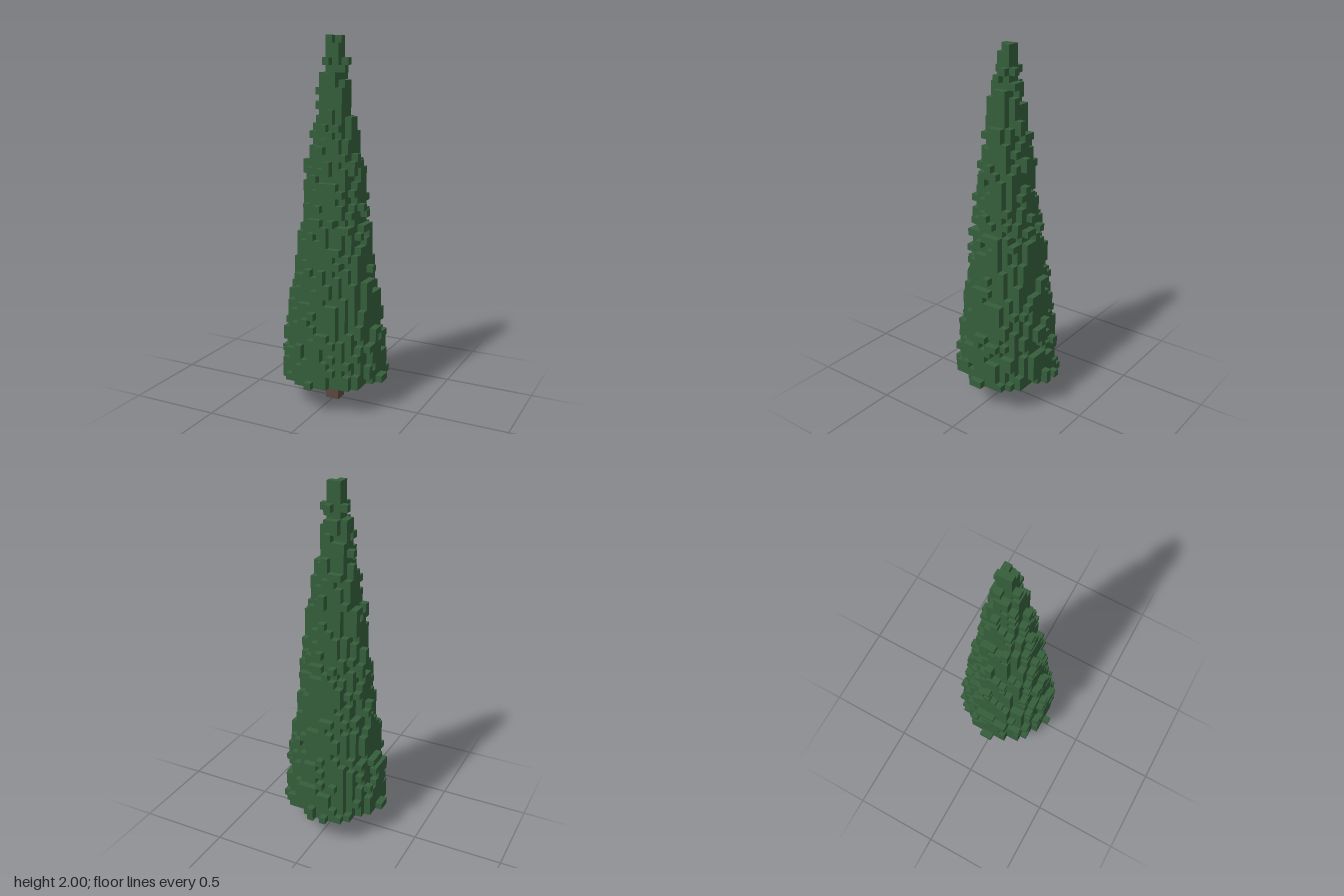
import * as THREE from 'three';

const LAYERS = 53, V = 2 / LAYERS, TRUNK = 4;

// Mean foliage radius in voxels at chosen layers
const PROFILE = [[4, 7.25], [15, 6.15], [21, 5.25], [30, 4.15], [38, 3.1], [43, 2.25], [49, 1.35], [51, 0.95], [52, 0.5]];

function radiusAt(y) {
  const i = Math.max(1, PROFILE.findIndex(([layer]) => layer >= y));
  const [y0, r0] = PROFILE[i - 1], [y1, r1] = PROFILE[i];
  return THREE.MathUtils.mapLinear(y, y0, y1, r0, r1);
}

function seeded(seed) {
  let s = seed;
  return () => {
    s = (s + 0x6d2b79f5) | 0;
    let t = Math.imul(s ^ (s >>> 15), 1 | s);
    t = (t + Math.imul(t ^ (t >>> 7), 61 | t)) ^ t;
    return ((t ^ (t >>> 14)) >>> 0) / 4294967296;
  };
}

// Ragged cone of voxels: each cell near the edge is kept or dropped by a small jitter
function foliageCells() {
  const rand = seeded(11), cells = new Map();
  const add = (x, y, z) => cells.set(`${x},${y},${z}`, [x, y, z]);
  for (let y = TRUNK; y < LAYERS; y++) {
    const r = radiusAt(y);
    for (let x = -7; x < 7; x++) {
      for (let z = -7; z < 7; z++) {
        const jitter = (rand() - 0.5) * 0.8;
        if (Math.hypot(x + 0.5, z + 0.5) < r + jitter) add(x, y, z);
      }
    }
  }
  // Twigs sticking out of the lowest layer, and the tip
  [[-8, -1], [-8, 0], [7, -1], [7, 0], [-1, 7], [-2, -8], [0, -8]].forEach(([x, z]) => add(x, TRUNK, z));
  add(0, TRUNK + 1, -8);
  add(-1, LAYERS - 1, -1);
  add(0, LAYERS - 1, -1);
  return cells;
}

// Outer faces only of a set of voxels
function voxelGeometry(cells) {
  const pos = [];
  const ring = [[0, 0], [1, 0], [1, 1], [0, 1]];
  for (const cell of cells.values()) {
    for (let a = 0; a < 3; a++) {
      for (const side of [0, 1]) {
        const next = [...cell];
        next[a] += side ? 1 : -1;
        if (cells.has(next.join())) continue;
        const quad = ring.map(([u, v]) => {
          const p = [...cell];
          p[a] += side;
          p[(a + 1) % 3] += u;
          p[(a + 2) % 3] += v;
          return p.map((c) => c * V);
        });
        const order = side ? [0, 1, 2, 0, 2, 3] : [0, 2, 1, 0, 3, 2];
        order.forEach((i) => pos.push(...quad[i]));
      }
    }
  }
  const geo = new THREE.BufferGeometry();
  geo.setAttribute('position', new THREE.Float32BufferAttribute(pos, 3));
  geo.computeVertexNormals();
  return geo;
}

export function createModel() {
  const needleGreen = new THREE.MeshStandardMaterial({ name: 'needleGreen', color: 0x355e3b });
  const barkBrown = new THREE.MeshStandardMaterial({ name: 'barkBrown', color: 0x5c4840 });

  const tree = new THREE.Group();
  tree.name = 'tree';

  const foliage = new THREE.Mesh(voxelGeometry(foliageCells()), needleGreen);
  foliage.name = 'foliage';

  const trunk = new THREE.Mesh(new THREE.BoxGeometry(2 * V, TRUNK * V, 2 * V), barkBrown);
  trunk.name = 'trunk';
  trunk.position.y = (TRUNK * V) / 2;

  tree.add(foliage, trunk);
  return tree;
}
